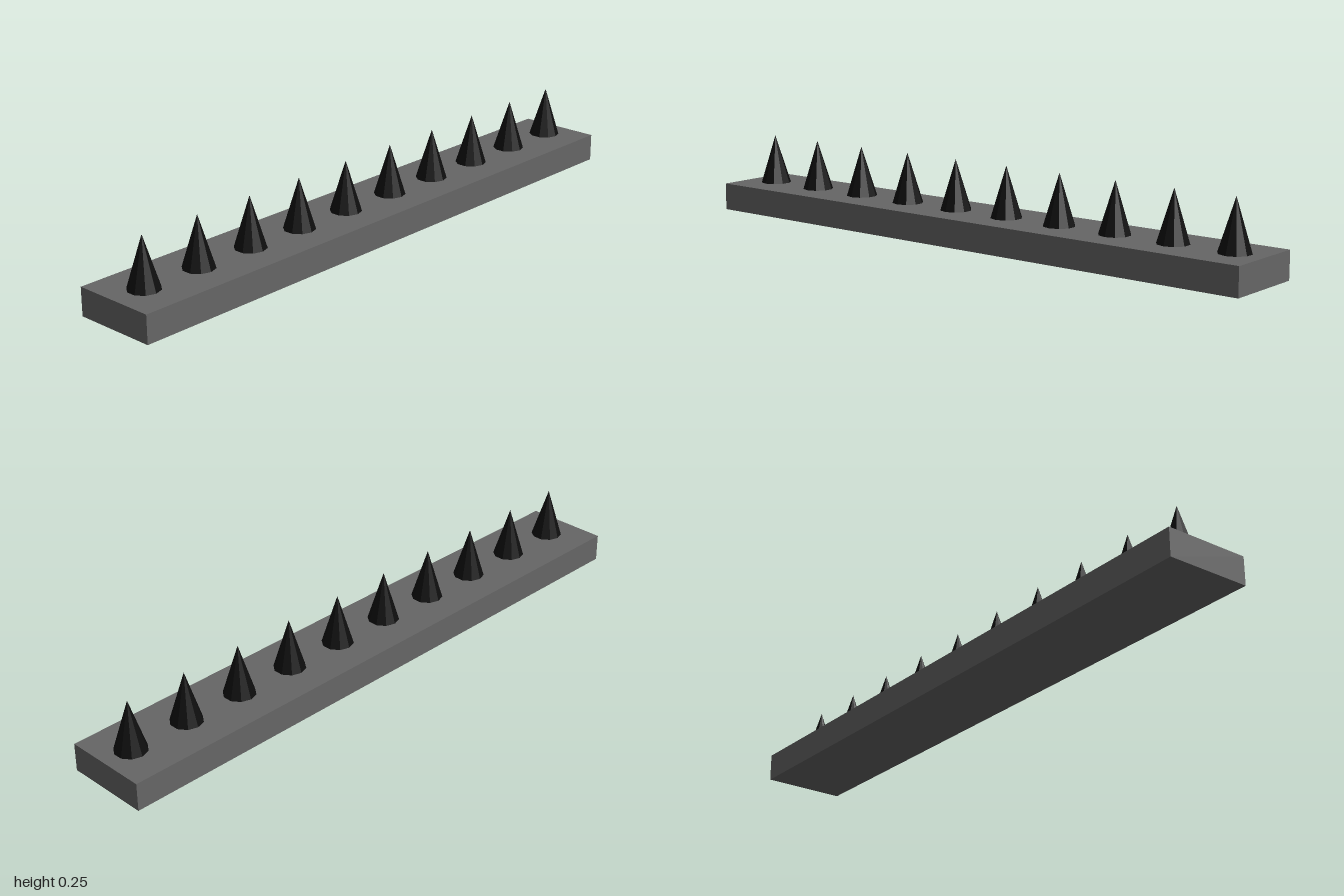
import * as THREE from 'three';

export function createModel() {
  const model = new THREE.Group();
  model.name = 'spikeStrip';

  const baseHeight = 0.088;
  const spikeHeight = 0.159;
  const spikeCount = 10;

  // Flat rectangular bar
  const base = new THREE.Mesh(
    new THREE.BoxGeometry(2, baseHeight, 0.27),
    new THREE.MeshStandardMaterial({ color: 0x666666 })
  );
  base.name = 'base';
  base.position.y = baseHeight / 2;
  model.add(base);

  // Row of ten-sided spikes along the bar
  const spikeGeometry = new THREE.ConeGeometry(0.0495, spikeHeight, 10);
  const spikeMaterial = new THREE.MeshStandardMaterial({ color: 0x0d0d0d, flatShading: true });
  for (let i = 0; i < spikeCount; i++) {
    const spike = new THREE.Mesh(spikeGeometry, spikeMaterial);
    spike.name = `spike${i + 1}`;
    spike.position.set(-0.893 + i * 0.2, baseHeight + spikeHeight / 2, 0.0025);
    model.add(spike);
  }

  return model;
}
